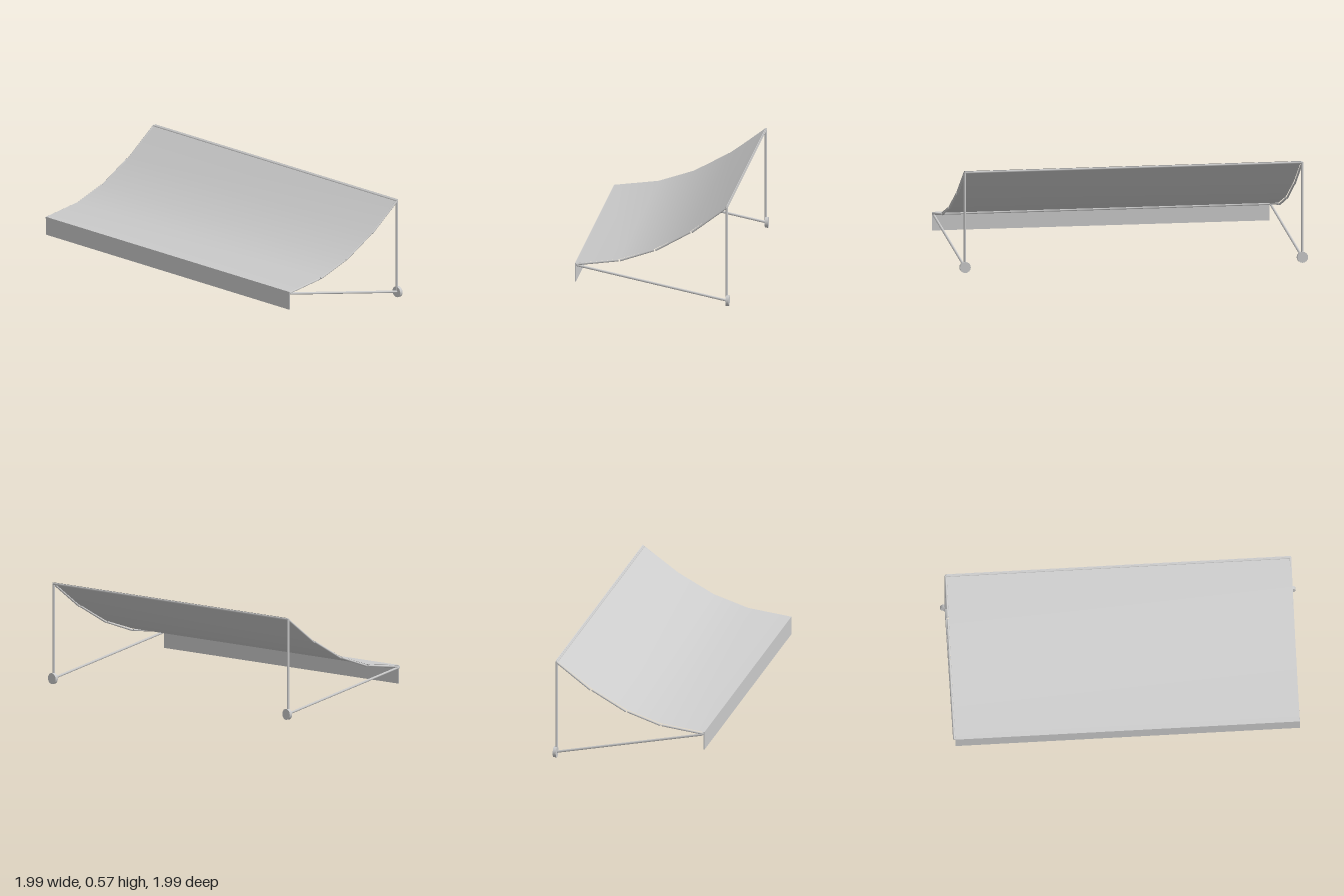
import * as THREE from 'three';

export function createModel() {
  const root = new THREE.Group();
  root.name = 'awning';
  const awning = new THREE.Group();
  awning.name = 'awningAssembly';
  awning.rotation.y = -Math.PI / 4; // the awning stands diagonally
  root.add(awning);

  const grey = new THREE.MeshStandardMaterial({ color: 0xcccccc });
  const cloth = new THREE.MeshStandardMaterial({ color: 0xcccccc, side: THREE.DoubleSide });

  const add = (name, geometry, material = grey) => {
    const mesh = new THREE.Mesh(geometry, material);
    mesh.name = name;
    awning.add(mesh);
    return mesh;
  };

  // Straight round bar between two points
  const bar = (name, a, b, radius = 0.007) => {
    const dir = b.clone().sub(a);
    const mesh = add(name, new THREE.CylinderGeometry(radius, radius, dir.length(), 8));
    mesh.position.copy(a).add(b).multiplyScalar(0.5);
    mesh.quaternion.setFromUnitVectors(new THREE.Vector3(0, 1, 0), dir.normalize());
  };
  const P = (x, y, z) => new THREE.Vector3(x, y, z);

  // Sagging profile from the wall to the front edge: [z, y]
  const profile = [[-0.417, 0.572], [-0.212, 0.425], [-0.008, 0.316], [0.19, 0.253], [0.437, 0.224]];
  const clothLeft = 0.962, clothRight = -0.958;

  // Canopy sheet, bent along the profile
  const sheet = new THREE.PlaneGeometry(clothLeft - clothRight, 1, 1, profile.length - 1);
  const pos = sheet.attributes.position;
  for (let i = 0; i < pos.count; i++) {
    const [z, y] = profile[Math.floor(i / 2)];
    pos.setXYZ(i, pos.getX(i) + (clothLeft + clothRight) / 2, y, z);
  }
  sheet.computeVertexNormals();
  add('canopy', sheet, cloth);

  // Hanging front flap
  const valance = add('valance', new THREE.BoxGeometry(clothLeft - clothRight, 0.104, 0.006));
  valance.position.set((clothLeft + clothRight) / 2, 0.172, 0.435);

  // Side frames: curved rib, wall post, strut and wall plate
  const sides = [['left', 0.956], ['right', -0.964]];
  for (const [side, x] of sides) {
    for (let i = 0; i < profile.length - 1; i++) {
      const [z0, y0] = profile[i], [z1, y1] = profile[i + 1];
      bar(side + 'Rib', P(x, y0 - 0.008, z0 + 0.004), P(x, y1 - 0.008, z1 - 0.004), 0.006);
    }
    bar(side + 'Post', P(x, 0.032, -0.411), P(x, 0.566, -0.411));
    bar(side + 'Strut', P(x, 0.032, -0.411), P(x, 0.212, 0.428));
    const plate = add(side + 'WallPlate', new THREE.CylinderGeometry(0.031, 0.031, 0.018, 16));
    plate.rotation.x = Math.PI / 2;
    plate.position.set(x, 0.031, -0.417);
  }

  // Long bars along the wall and the front edge
  bar('wallBar', P(sides[1][1], 0.563, -0.411), P(sides[0][1], 0.563, -0.411));
  bar('frontBar', P(sides[1][1], 0.214, 0.428), P(sides[0][1], 0.214, 0.428));

  return root;
}
